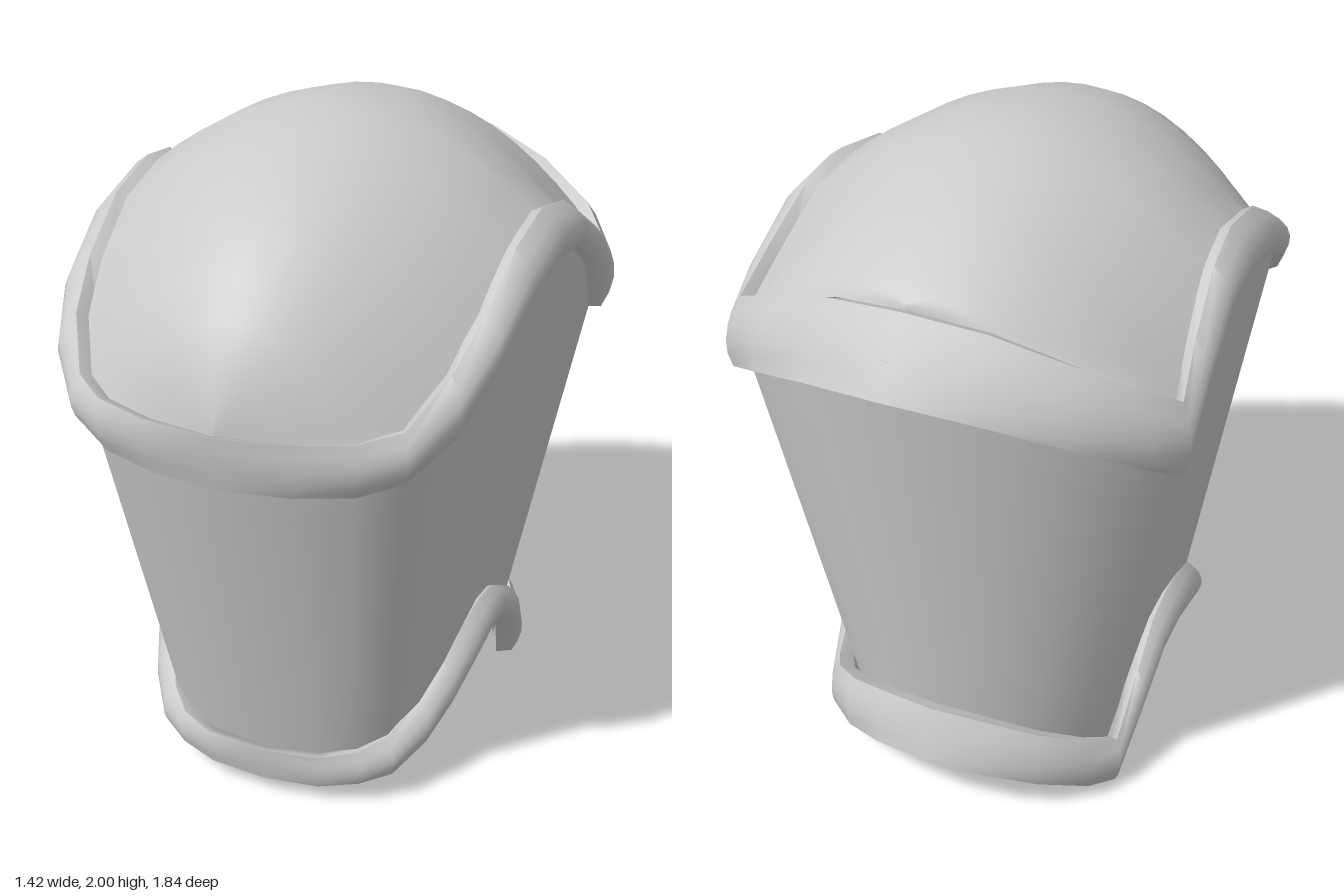
import * as THREE from 'three';
import { toCreasedNormals } from 'three/addons/utils/BufferGeometryUtils.js';

// Half outlines from front centre round the +x side to back centre:
// x, z, lower y, upper y, inward lean of the upper edge
const TOP = [
  [0, .92, 1.2, 1.37, .005], [.21, .89, 1.2, 1.37, .01], [.38, .83, 1.205, 1.37, .02],
  [.495, .755, 1.23, 1.385, .04], [.6, .64, 1.33, 1.5, .08], [.66, .48, 1.46, 1.61, .11],
  [.685, .25, 1.575, 1.725, .12], [.695, 0, 1.62, 1.765, .12], [.705, -.2, 1.59, 1.73, .11],
  [.715, -.4, 1.45, 1.61, .09], [.71, -.53, 1.27, 1.5, .05], [.65, -.65, 1.35, 1.57, .08],
  [.48, -.785, 1.45, 1.66, .11], [.27, -.87, 1.52, 1.73, .13], [0, -.92, 1.56, 1.76, .14],
];
const BOTTOM = [
  [0, .64, .06, .18, .005], [.18, .625, .065, .18, .02], [.3, .585, .08, .19, .05],
  [.39, .525, .1, .22, .09], [.465, .42, .17, .3, .13], [.51, .3, .25, .38, .13],
  [.53, .15, .31, .43, .12], [.535, 0, .34, .45, .11], [.535, -.13, .32, .43, .1],
  [.53, -.29, .2, .34, .07], [.5, -.42, 0, .17, .03], [.45, -.53, .05, .22, .05],
  [.33, -.65, .12, .29, .06], [.18, -.725, .17, .34, .07], [0, -.76, .2, .36, .07],
];
const LAST = TOP.length - 1;
// Inward lean of the rims' lower edges, front to back
const leanLow = i => (i < 10 ? .04 : .01 * (LAST - i));

// Skin over rows of equally many points
function loft(rows, { wrap = false, closeRows = false } = {}) {
  const n = rows[0].length, m = rows.length, index = [];
  for (let j = 0; j < (closeRows ? m : m - 1); j++) {
    for (let i = 0; i < (wrap ? n : n - 1); i++) {
      const i2 = (i + 1) % n, j2 = (j + 1) % m;
      const a = j * n + i, b = j * n + i2, c = j2 * n + i2, d = j2 * n + i;
      index.push(a, b, c, a, c, d);
    }
  }
  const geo = new THREE.BufferGeometry();
  geo.setAttribute('position', new THREE.Float32BufferAttribute(rows.flat(2), 3));
  geo.setIndex(index);
  geo.computeVertexNormals();
  return geo;
}

// Full mirrored ring, inset by k(i) and raised to fraction f of the rim height
function ring(outline, k, f) {
  const half = outline.map(([x, z, lo, hi], i) => {
    const s = 1 - k(i);
    return [x * s, lo + (hi - lo) * f, z * s];
  });
  const mirror = half.slice(1, -1).reverse().map(([x, y, z]) => [-x, y, z]);
  return [...half, ...mirror];
}

// Rim band: outer face bulging at the sides, closed by an inner face
function rimGeometry(outline) {
  const up = i => outline[i][4];
  const outer = [0, .2, .4, .6, .8, 1].map(f => ring(outline, i => {
    const bulge = .06 * Math.sin(Math.PI * i / LAST) * 4 * f * (1 - f);
    return leanLow(i) + (up(i) - leanLow(i)) * f - bulge;
  }, f));
  const rows = [
    ring(outline, i => leanLow(i) + .09, .04),
    ...outer,
    ring(outline, i => up(i) + .07, .85),
  ];
  return toCreasedNormals(loft(rows, { wrap: true, closeRows: true }), 1);
}

// Sleeve between the rims, narrowing more strongly toward the back of the hem
function bodyGeometry() {
  const low = ring(BOTTOM, i => .115 + .055 * i / LAST, .45);
  const high = ring(TOP, () => .062, .45);
  const rows = [];
  for (let j = 0; j <= 6; j++) {
    rows.push(low.map((p, i) => p.map((v, a) => v + (high[i][a] - v) * j / 6)));
  }
  return loft(rows, { wrap: true });
}

// Crown height along the centre line
const crown = z => z > -.04
  ? 1.35 + .65 * Math.sqrt(Math.max(0, 1 - ((z + .04) / .92) ** 2))
  : 2 - .26 * ((z + .04) / .75) ** 2;

// Domed cap springing from just inside the upper edge of the rim
function domeGeometry() {
  const rows = TOP.map(([x, z, , hi, lean]) => {
    const s = 1 - lean - .04, edge = hi - .015, row = [];
    const rise = Math.max(0, crown(z * s) - edge);
    for (let j = 0; j <= 16; j++) {
      const u = j / 8 - 1;
      row.push([x * s * u, edge + rise * (1 - u * u), z * s]);
    }
    return row;
  });
  return loft(rows);
}

export function createModel() {
  const group = new THREE.Group();
  const material = new THREE.MeshStandardMaterial({ color: 0xcccccc, side: THREE.DoubleSide });
  const add = (name, geometry) => {
    const mesh = new THREE.Mesh(geometry, material);
    mesh.name = name;
    group.add(mesh);
  };
  add('taperedSleeve', bodyGeometry());
  add('domedCap', domeGeometry());
  add('upperRim', rimGeometry(TOP));
  add('lowerRim', rimGeometry(BOTTOM));
  return group;
}
